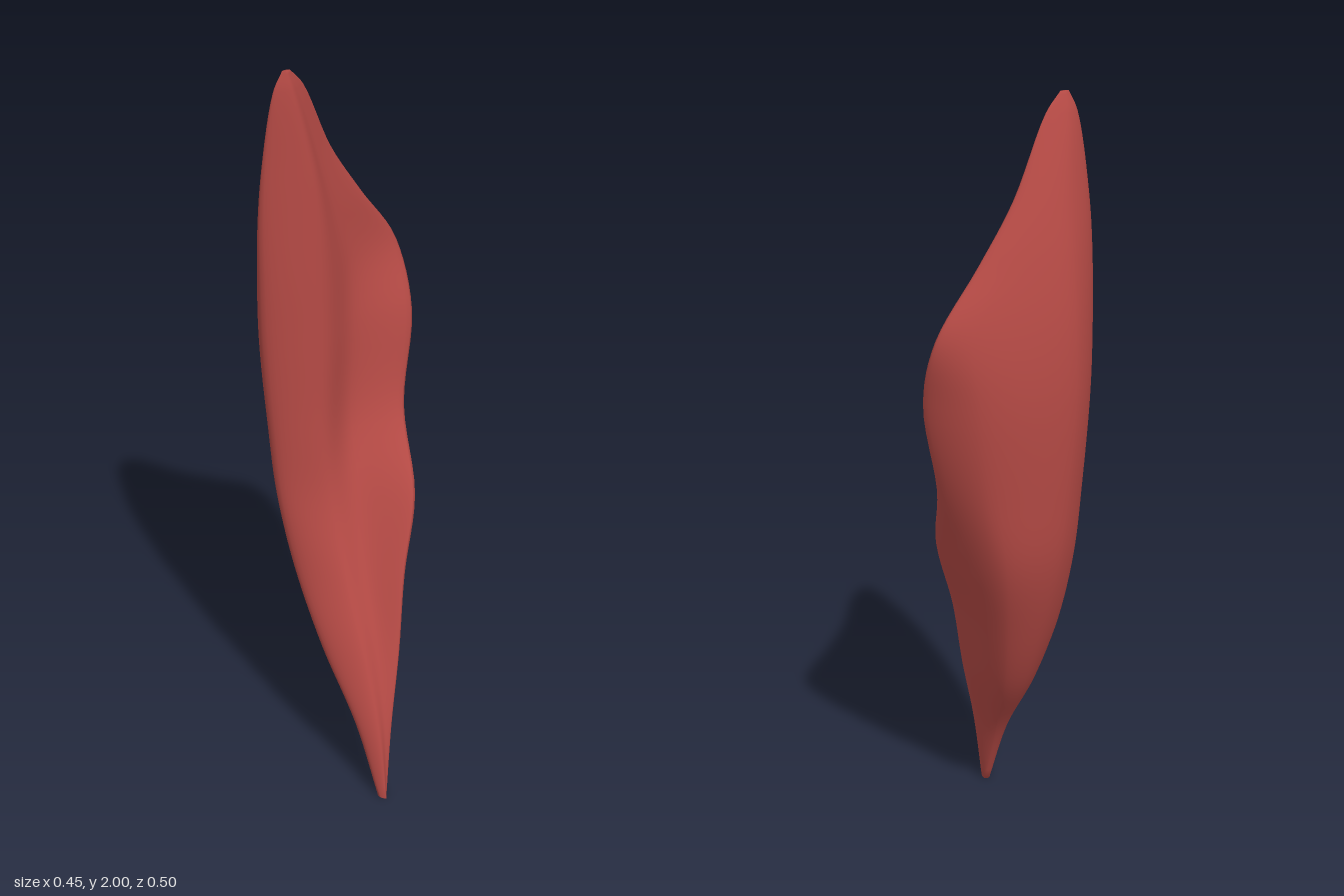
import * as THREE from 'three';

const red = new THREE.MeshStandardMaterial({ color: 0xb54a45 });
red.name = 'muscle red';

// Heights shared by all lengthwise rails, bottom tip to top tip
const heights = [0, 0.2, 0.4, 0.6, 0.8, 1.0, 1.25, 1.43, 1.6, 1.75, 1.95, 2.0];

function rail(xs, zs) {
  return new THREE.CatmullRomCurve3(heights.map((y, i) => new THREE.Vector3(xs[i], y, zs[i])));
}

// Blunt outer edge on the model's right (-x)
const sideEdge = rail(
  [-0.053, -0.085, -0.13, -0.16, -0.185, -0.2, -0.217, -0.223, -0.225, -0.218, -0.192, -0.17],
  [0.235, 0.17, 0.055, -0.05, -0.09, -0.1, -0.1, -0.095, -0.09, -0.083, -0.068, -0.065]);
// Raised ridge along the front
const frontRidge = rail(
  [-0.04, -0.047, -0.058, -0.07, -0.08, -0.085, -0.08, -0.08, -0.085, -0.105, -0.15, -0.16],
  [0.25, 0.212, 0.14, 0.05, -0.02, -0.04, -0.043, -0.044, -0.046, -0.048, -0.054, -0.062]);
// Flaring edge with its corner on the model's left (+x)
const flareEdge = rail(
  [-0.032, 0.0, 0.045, 0.085, 0.145, 0.175, 0.222, 0.205, 0.09, -0.008, -0.105, -0.148],
  [0.235, 0.2, 0.155, 0.105, 0.045, -0.08, -0.13, -0.19, -0.165, -0.135, -0.085, -0.067]);
// Rounded back
const backOuter = rail(
  [-0.034, -0.035, -0.015, 0.01, 0.04, 0.075, 0.1, 0.115, 0.02, -0.055, -0.125, -0.155],
  [0.21, 0.11, -0.03, -0.12, -0.19, -0.215, -0.235, -0.227, -0.197, -0.158, -0.09, -0.07]);
const backInner = rail(
  [-0.046, -0.06, -0.08, -0.095, -0.115, -0.13, -0.147, -0.147, -0.147, -0.15, -0.165, -0.162],
  [0.21, 0.11, -0.035, -0.13, -0.19, -0.213, -0.222, -0.214, -0.187, -0.15, -0.09, -0.07]);

// Closed cross-section with a shallow hollow between the ridge and the flaring edge
function section(t) {
  const [l, f, r, b2, b1] = [sideEdge, frontRidge, flareEdge, backOuter, backInner].map((c) => c.getPoint(t));
  const depth = 0.24 * Math.sin(Math.PI * t) ** 2;
  const hollow = f.clone().lerp(r, 0.5).lerp(b1.clone().lerp(b2, 0.5), depth);
  return new THREE.CatmullRomCurve3([l, f, hollow, r, b2, b1], true);
}

function muscleGeometry(rows, sides) {
  const pos = [];
  const index = [];
  for (let i = 0; i <= rows; i++) {
    const loop = section(i / rows);
    for (let j = 0; j < sides; j++) pos.push(...loop.getPoint(j / sides).toArray());
  }
  for (let i = 0; i < rows; i++) {
    for (let j = 0; j < sides; j++) {
      const a = i * sides + j;
      const b = i * sides + (j + 1) % sides;
      index.push(a, b, a + sides, b, b + sides, a + sides);
    }
  }
  // Close both tips with fans
  const top = rows * sides;
  for (let j = 1; j < sides - 1; j++) {
    index.push(0, j + 1, j, top, top + j, top + j + 1);
  }
  const geo = new THREE.BufferGeometry();
  geo.setAttribute('position', new THREE.Float32BufferAttribute(pos, 3));
  geo.setIndex(index);
  geo.computeVertexNormals();
  return geo;
}

export function createModel() {
  const group = new THREE.Group();
  group.name = 'muscle';
  const belly = new THREE.Mesh(muscleGeometry(66, 48), red);
  belly.name = 'muscleBelly';
  group.add(belly);
  return group;
}
